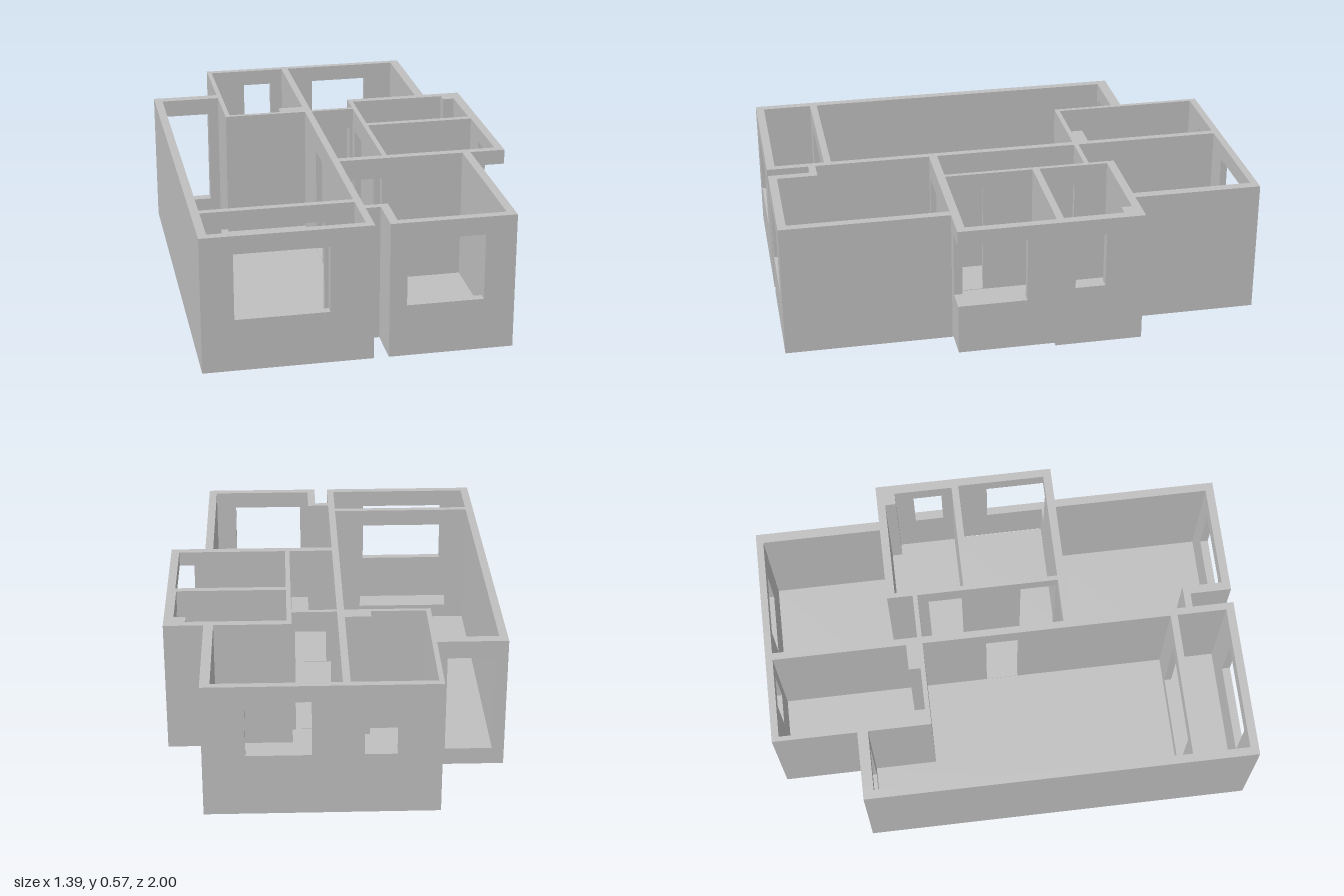
import * as THREE from 'three';

// Plan rectangles: [x0, x1, z0, z1]
const footprint = [
  [-0.70, -0.02, -0.645, 1], [-0.41, 0.53, -1, 0.30], [0.53, 0.695, -0.465, 0.305],
  [-0.02, 0.545, 0.27, 0.825], [0.04, 0.545, 0.825, 1],
];
const rooms = {
  living: [[-0.665, -0.41, -0.6, 0.725], [-0.41, -0.05, -0.335, 0.725]],
  balcony: [[-0.665, -0.05, 0.755, 0.965]],
  backRight: [[-0.39, -0.16, -0.97, -0.355], [-0.16, -0.05, -0.97, -0.405]],
  backLeft: [[-0.02, 0.49, -0.97, -0.465], [-0.02, 0.17, -0.465, -0.355]],
  hall: [[-0.02, 0.17, -0.335, 0.27]],
  bath: [[0.19, 0.605, -0.43, -0.135], [0.605, 0.655, -0.385, -0.135]],
  kitchen: [[0.19, 0.66, -0.105, 0.27]],
  frontLeft: [[-0.02, 0.51, 0.305, 0.795], [0.075, 0.51, 0.795, 0.965]],
};
const BASE = 0.007, TOP = 0.575;

// Openings cut through walls: [x0, x1, z0, z1, y0, y1]
const openings = [
  // front, back and side windows
  [-0.57, -0.195, 0.965, 1, 0.225, 0.5],
  [0.11, 0.42, 0.965, 1, 0.225, 0.5],
  [0.10, 0.36, -1, -0.97, 0.27, 0.505],
  [-0.235, -0.105, -1, -0.97, 0.27, 0.505],
  [0.655, 0.695, -0.305, -0.18, 0.27, 0.505],
  // corner window
  [0.66, 0.695, 0.02, 0.305, 0.235, 0.512],
  [0.595, 0.695, 0.27, 0.305, 0.235, 0.512],
  // living room end opening and balcony opening
  [-0.65, -0.455, -0.645, -0.6, 0.08, 0.5],
  [-0.58, -0.17, 0.725, 0.755, 0.08, 0.5],
  // hall doorways
  [0.005, 0.163, 0.27, 0.305, 0.02, 0.485],
  [0.005, 0.155, -0.355, -0.335, 0.02, 0.485],
  [0.17, 0.19, 0.11, 0.265, 0.02, 0.512],
  [0.17, 0.19, -0.29, -0.145, 0.02, 0.485],
  [-0.05, -0.02, -0.065, 0.075, 0.02, 0.485],
  // raised lower edge by the kitchen
  [0.66, 0.695, -0.1, 0.305, 0, 0.02],
  [0.545, 0.695, 0.27, 0.305, 0, 0.02],
];

const inside = (r, x, z) => x > r[0] && x < r[1] && z > r[2] && z < r[3];
const roomRects = Object.values(rooms).flat();

function isWall(x, y, z) {
  if (y < BASE || y > TOP) return false;
  return footprint.some((r) => inside(r, x, z)) &&
    !roomRects.some((r) => inside(r, x, z)) &&
    !openings.some((o) => inside(o, x, z) && y > o[4] && y < o[5]);
}

// Sorted unique cut positions along one axis
const cuts = (values) => [...new Set(values)].sort((a, b) => a - b);

// One closed shell: visits every plan cell and keeps only the exposed faces
function wallGeometry() {
  const all = [...footprint, ...roomRects, ...openings];
  const axes = [
    cuts(all.flatMap((r) => [r[0], r[1]])),
    cuts([BASE, TOP, ...openings.flatMap((o) => [o[4], o[5]])]),
    cuts(all.flatMap((r) => [r[2], r[3]])),
  ];
  const mid = (a, i) => {
    const c = axes[a];
    if (i < 0) return c[0] - 1;
    if (i >= c.length - 1) return c[c.length - 1] + 1;
    return (c[i] + c[i + 1]) / 2;
  };
  const solid = (c) => isWall(mid(0, c[0]), mid(1, c[1]), mid(2, c[2]));
  const positions = [], normals = [];
  const addFace = (cell, a, side) => {
    const u = (a + 1) % 3, v = (a + 2) % 3;
    const corner = (du, dv) => {
      const p = [0, 0, 0];
      p[a] = axes[a][cell[a] + (side > 0 ? 1 : 0)];
      p[u] = axes[u][cell[u] + du];
      p[v] = axes[v][cell[v] + dv];
      return p;
    };
    const q = [corner(0, 0), corner(1, 0), corner(1, 1), corner(0, 1)];
    if (side < 0) q.reverse();
    const n = [0, 0, 0];
    n[a] = side;
    for (const i of [0, 1, 2, 0, 2, 3]) {
      positions.push(...q[i]);
      normals.push(...n);
    }
  };
  for (let i = 0; i < axes[0].length - 1; i++)
    for (let j = 0; j < axes[1].length - 1; j++)
      for (let k = 0; k < axes[2].length - 1; k++) {
        const cell = [i, j, k];
        if (!solid(cell)) continue;
        for (let a = 0; a < 3; a++)
          for (const side of [-1, 1]) {
            const next = [...cell];
            next[a] += side;
            if (!solid(next)) addFace(cell, a, side);
          }
      }
  const g = new THREE.BufferGeometry();
  g.setAttribute('position', new THREE.Float32BufferAttribute(positions, 3));
  g.setAttribute('normal', new THREE.Float32BufferAttribute(normals, 3));
  return g;
}

export function createModel() {
  const model = new THREE.Group();
  model.name = 'apartment';
  const plaster = new THREE.MeshStandardMaterial({ color: 0xbfbfbf });
  plaster.name = 'grey plaster';

  const walls = new THREE.Mesh(wallGeometry(), plaster);
  walls.name = 'walls';
  model.add(walls);

  const slab = (name, [x0, x1, z0, z1], y0, y1, parent) => {
    const m = new THREE.Mesh(new THREE.BoxGeometry(x1 - x0, y1 - y0, z1 - z0), plaster);
    m.position.set((x0 + x1) / 2, (y0 + y1) / 2, (z0 + z1) / 2);
    m.name = name;
    parent.add(m);
  };

  // Thin floor in each room
  const floors = new THREE.Group();
  floors.name = 'floors';
  for (const [name, rects] of Object.entries(rooms))
    for (const r of rects) slab(name + 'Floor', r, 0.009, 0.018, floors);
  model.add(floors);

  // Footing under the long central wall
  slab('centralFooting', [-0.05, -0.02, -0.97, 0.825], 0, BASE, model);
  return model;
}
